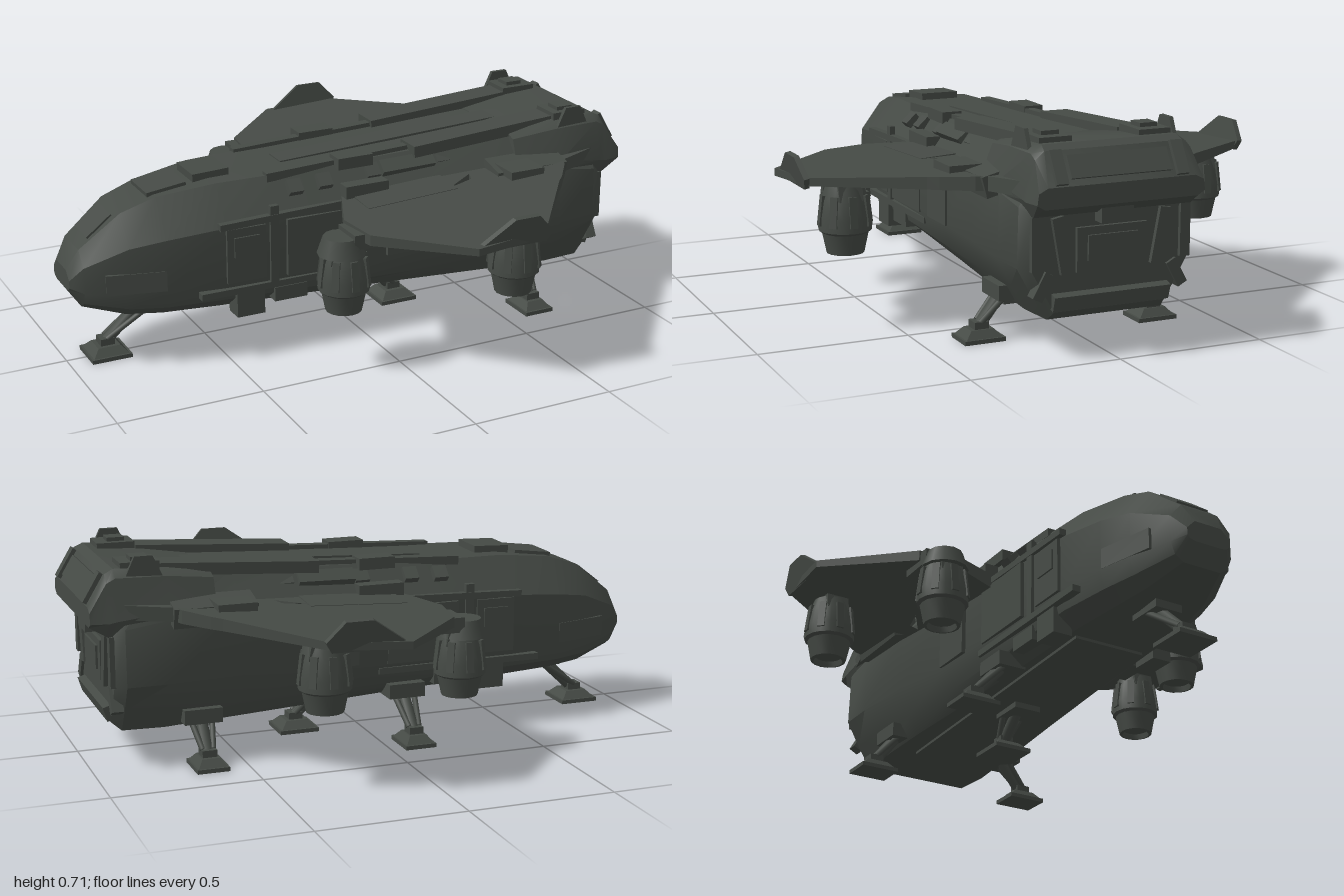
import * as THREE from 'three';
import { toCreasedNormals } from 'three/addons/utils/BufferGeometryUtils.js';

const hullPaint = new THREE.MeshStandardMaterial({ color: 0x454a45 });
hullPaint.name = 'dark grey-green paint';

export function createModel() {
  const root = new THREE.Group();
  root.name = 'dropship';

  const add = (name, geo, parent = root) => {
    const m = new THREE.Mesh(geo, hullPaint);
    m.name = name;
    parent.add(m);
    return m;
  };
  const box = (name, x, y, z, w, h, d, rz = 0, rx = 0, parent = root) => {
    const m = add(name, new THREE.BoxGeometry(w, h, d), parent);
    m.position.set(x, y, z);
    m.rotation.set(rx, 0, rz);
    return m;
  };
  const both = fn => [1, -1].forEach(fn);

  // Upright plate with an outline in x and y
  const plate = (name, outline, y, z, depth, tilt) => {
    const shape = new THREE.Shape(outline.map(([px, py]) => new THREE.Vector2(px, py)));
    const m = add(name, new THREE.ExtrudeGeometry(shape, { depth, bevelEnabled: false }));
    m.position.set(0, y, z - depth / 2);
    m.rotation.x = tilt;
  };

  // Loft along x; each ring is [x, [z, y]...] from bottom to top, mirrored in z
  const loft = (name, rings) => {
    const pos = [], idx = [];
    const n = (rings[0].length - 1) * 2;
    for (const [x, ...half] of rings) {
      const loop = [...half, ...half.slice().reverse().map(([z, y]) => [-z, y])];
      loop.forEach(([z, y]) => pos.push(x, y, z));
    }
    for (let i = 0; i < rings.length - 1; i++) {
      for (let j = 0; j < n; j++) {
        const a = i * n + j, b = i * n + (j + 1) % n;
        idx.push(a, a + n, b + n, a, b + n, b);
      }
    }
    const last = (rings.length - 1) * n;
    for (let j = 1; j < n - 1; j++) {
      idx.push(0, j, j + 1, last, last + j + 1, last + j);
    }
    const g = new THREE.BufferGeometry();
    g.setAttribute('position', new THREE.Float32BufferAttribute(pos, 3));
    g.setIndex(idx);
    add(name, toCreasedNormals(g, 0.5));
  };

  // Cylinder strut between two points
  const strut = (name, a, b, r, parent = root) => {
    const p = new THREE.Vector3(...a), q = new THREE.Vector3(...b);
    const m = add(name, new THREE.CylinderGeometry(r, r, p.distanceTo(q), 8), parent);
    m.position.copy(p).add(q).multiplyScalar(0.5);
    m.quaternion.setFromUnitVectors(new THREE.Vector3(0, 1, 0), q.sub(p).normalize());
  };

  // Main hull, nose at -x
  loft('hull', [
    [-1.0, [0.05, 0.28], [0.07, 0.285], [0.08, 0.295], [0.08, 0.32], [0.05, 0.35]],
    [-0.96, [0.07, 0.22], [0.1, 0.24], [0.115, 0.28], [0.115, 0.37], [0.07, 0.42]],
    [-0.82, [0.11, 0.18], [0.155, 0.215], [0.17, 0.27], [0.165, 0.43], [0.09, 0.53]],
    [-0.7, [0.13, 0.17], [0.185, 0.21], [0.2, 0.27], [0.195, 0.45], [0.1, 0.57]],
    [-0.5, [0.15, 0.165], [0.21, 0.21], [0.225, 0.27], [0.225, 0.47], [0.13, 0.595]],
    [-0.2, [0.16, 0.155], [0.215, 0.2], [0.235, 0.28], [0.235, 0.48], [0.15, 0.6]],
    [0.2, [0.18, 0.14], [0.225, 0.19], [0.25, 0.28], [0.25, 0.51], [0.17, 0.615]],
    [0.5, [0.2, 0.13], [0.24, 0.19], [0.28, 0.29], [0.275, 0.52], [0.19, 0.63]],
    [0.75, [0.21, 0.12], [0.255, 0.2], [0.3, 0.29], [0.295, 0.5], [0.22, 0.64]],
    [0.89, [0.2, 0.12], [0.25, 0.2], [0.3, 0.29], [0.295, 0.48], [0.22, 0.6]],
    [0.925, [0.19, 0.15], [0.225, 0.21], [0.27, 0.29], [0.27, 0.46], [0.2, 0.58]],
  ]);

  // Upper tail housing
  loft('tailHousing', [
    [0.58, [0.27, 0.5], [0.28, 0.52], [0.24, 0.62], [0.2, 0.635]],
    [0.74, [0.29, 0.49], [0.3, 0.53], [0.26, 0.64], [0.22, 0.66]],
    [0.91, [0.27, 0.46], [0.295, 0.51], [0.265, 0.645], [0.23, 0.67]],
    [0.94, [0.27, 0.455], [0.295, 0.505], [0.265, 0.63], [0.235, 0.655]],
    [1.0, [0.26, 0.49], [0.285, 0.505], [0.28, 0.54], [0.25, 0.555]],
  ]);
  box('tailWindow', 0.972, 0.607, 0, 0.012, 0.075, 0.34, 0.54);
  both(s => box('tailWindowFrame', 0.971, 0.607, s * 0.205, 0.025, 0.11, 0.04, 0.54));
  box('tailLight', 0.945, 0.46, 0, 0.05, 0.07, 0.11);

  // Rear ramp with frame
  box('ramp', 0.925, 0.34, 0, 0.025, 0.14, 0.24);
  box('rampPanel', 0.936, 0.345, 0, 0.018, 0.08, 0.17);
  box('rampSill', 0.922, 0.185, 0, 0.045, 0.05, 0.4, -0.3);
  both(s => {
    box('rampPillar', 0.925, 0.36, s * 0.17, 0.03, 0.18, 0.04, 0, s * 0.18);
    box('rearCorner', 0.918, 0.37, s * 0.255, 0.04, 0.17, 0.035);
    box('rearLowerCorner', 0.915, 0.235, s * 0.23, 0.04, 0.09, 0.035, 0, s * -0.5);
  });

  // Cockpit and dorsal details
  box('roofHatch', -0.49, 0.6, 0, 0.13, 0.035, 0.14, 0.04);
  box('canopyFrame', -0.65, 0.58, 0, 0.14, 0.015, 0.15, 0.13);
  box('canopyPane', -0.88, 0.482, 0, 0.11, 0.014, 0.12, 0.66);
  box('spine', 0.25, 0.615, 0, 0.95, 0.02, 0.09, 0.045);
  const tailSpike = [[0.75, 0], [0.88, 0], [0.845, 0.075], [0.785, 0.075]];
  both(s => {
    box('dorsalRail', -0.05, 0.605, s * 0.14, 0.55, 0.03, 0.035, 0.04);
    box('dorsalRidge', 0.48, 0.636, s * 0.16, 0.55, 0.04, 0.1, 0.06);
    box('dorsalUnit', -0.01, 0.612, s * 0.155, 0.13, 0.04, 0.07);
    box('dorsalVent', 0.18, 0.58, s * 0.2, 0.2, 0.03, 0.05, 0.03, s * 0.7);
    for (const x of [-0.24, -0.13, 0.05, 0.32]) {
      box('dorsalFitting', x, 0.57 + 0.04 * x, s * 0.19, 0.05, 0.025, 0.05, 0, s * 0.75);
    }
    box('tailTurretBase', 0.82, 0.672, s * 0.17, 0.13, 0.026, 0.11);
    box('tailTurretCap', 0.815, 0.687, s * 0.17, 0.06, 0.022, 0.06);
    plate('tailSpike', tailSpike, 0.635, s * 0.25, 0.014, 0);
    box('shoulderPod', 0.545, 0.54, s * 0.345, 0.13, 0.045, 0.11);
    box('shoulderFairing', 0.6, 0.525, s * 0.29, 0.28, 0.07, 0.1, 0, s * 0.25);
    box('intakeBlock', 0.0, 0.52, s * 0.235, 0.16, 0.07, 0.05);
    // Flank doors, seams and lower equipment
    box('flankDoor', -0.435, 0.37, s * 0.227, 0.14, 0.19, 0.018);
    box('flankDoorWindow', -0.435, 0.4, s * 0.238, 0.09, 0.07, 0.008);
    box('slidingDoor', -0.16, 0.37, s * 0.238, 0.26, 0.2, 0.015);
    box('doorPillar', -0.335, 0.385, s * 0.23, 0.03, 0.28, 0.02);
    box('upperRail', -0.3, 0.485, s * 0.23, 0.46, 0.022, 0.025, 0.03);
    box('stepRail', -0.3, 0.245, s * 0.225, 0.6, 0.022, 0.03);
    box('stepBox', -0.42, 0.19, s * 0.195, 0.1, 0.09, 0.07);
    box('lowerBox', -0.27, 0.2, s * 0.2, 0.12, 0.05, 0.05);
    box('flankPanel', 0.16, 0.37, s * 0.25, 0.16, 0.18, 0.02);
    box('chinPanel', -0.8, 0.31, s * 0.17, 0.2, 0.07, 0.012).rotation.y = s * -0.24;
  });
  box('bellyPlate', 0.1, 0.144, 0, 1.1, 0.02, 0.26, -0.035);

  // Wings: plan shape with a slot, tapered towards the tip
  const plan = [[-0.07, 0.2], [-0.16, 0.4], [-0.14, 0.55], [0.11, 0.81], [0.37, 0.79],
    [0.62, 0.48], [0.65, 0.45], [0.72, 0.36], [0.73, 0.33], [0.9, 0.28], [0.9, 0.24]];
  const slot = [[0.27, 0.345], [0.37, 0.315], [0.385, 0.275]];
  const tip = [[0.1, 0], [0.37, 0], [0.39, 0.035], [0.33, 0.1], [0.24, 0.1]];
  both(s => {
    const toV = ([x, z]) => new THREE.Vector2(x, -s * z);
    const shape = new THREE.Shape(plan.map(toV));
    shape.holes.push(new THREE.Path(slot.map(toV)));
    const g = new THREE.ExtrudeGeometry(shape, { depth: 1, bevelEnabled: false });
    g.rotateX(-Math.PI / 2);
    const p = g.attributes.position;
    for (let i = 0; i < p.count; i++) {
      const out = (Math.abs(p.getZ(i)) - 0.25) / 0.55;
      const thick = 0.05 - 0.025 * out;
      p.setY(i, 0.466 + 0.05 * p.getX(i) + 0.003 * out + p.getY(i) * thick);
    }
    g.computeVertexNormals();
    add('wing', g);
    plate('wingTip', tip, 0.48, s * 0.785, 0.018, s * 0.2);
    box('wingPanel', 0.12, 0.514, s * 0.3, 0.34, 0.018, 0.13, 0.05, s * 0.06);
    strut('wingSpar', [-0.1, 0.478, s * 0.53], [0.24, 0.495, s * 0.43], 0.017);
  });

  // Lift engines hanging under the wings
  const profile = [[0, 0.02], [0.046, 0.02], [0.05, 0], [0.061, 0.003], [0.075, 0.07],
    [0.086, 0.078], [0.086, 0.12], [0.076, 0.18], [0.06, 0.225], [0, 0.235]]
    .map(([r, y]) => new THREE.Vector2(r, y));
  const engine = (x, y, z) => {
    const e = new THREE.Group();
    e.name = 'liftEngine';
    e.position.set(x, y, z);
    add('engineBody', toCreasedNormals(new THREE.LatheGeometry(profile, 16), 0.5), e);
    for (let i = 0; i < 8; i++) {
      const a = i * Math.PI / 4;
      const rib = box('engineRib', Math.cos(a) * 0.075, 0.145, Math.sin(a) * 0.075, 0.02, 0.1, 0.025, 0, 0, e);
      rib.rotation.set(0, -a, 0.12);
    }
    both(k => box('engineHanger', k * 0.045, 0.21, 0, 0.03, 0.07, 0.08, k * 0.2, 0, e));
    root.add(e);
  };
  for (const z of [0.46, -0.485]) {
    engine(-0.19, 0.212, z);
    const cap = add('engineCowl', new THREE.CylinderGeometry(0.06, 0.08, 0.06, 12));
    cap.position.set(-0.2, 0.445, z);
    box('engineArm', -0.11, 0.465, z, 0.14, 0.05, 0.12);
  }
  for (const z of [0.65, -0.645]) engine(0.34, 0.252, z);

  // Landing legs: foot pad, main strut, braces
  const leg = (name, top, foot) => {
    const g = new THREE.Group();
    g.name = name;
    root.add(g);
    const [x, z] = foot;
    const along = z === 0;
    const width = along ? 0.14 : 0.11;
    const pad = add('footPad', toCreasedNormals(
      new THREE.CylinderGeometry(0.055, 0.095, 0.03, 4).rotateY(Math.PI / 4), 0.3), g);
    pad.position.set(x, 0.024, z);
    pad.scale.x = width / 0.14;
    box('footSole', x, 0.007, z, width, 0.014, 0.14, 0, 0, g);
    box('ankle', x, 0.045, z, 0.05, 0.035, 0.05, 0, 0, g);
    strut('mainStrut', top, [x, 0.045, z], 0.02, g);
    both(k => strut('brace',
      [top[0] + (along ? 0.03 : k * 0.04), top[1], top[2] + (along ? k * 0.04 : 0)],
      [x + (along ? 0 : k * 0.018), 0.06, z + (along ? k * 0.018 : 0)], 0.01, g));
    box('legHousing', top[0], top[1], top[2], 0.13, 0.05, 0.1, 0, 0, g);
  };
  leg('noseLeg', [-0.72, 0.175, 0], [-0.86, 0]);
  leg('bellyLeg', [0.13, 0.14, 0], [0.23, 0]);
  leg('rightMidLeg', [-0.1, 0.17, -0.2], [-0.1, -0.31]);
  both(s => leg('rearLeg', [0.63, 0.16, s * 0.22], [0.63, s * 0.31]));

  return root;
}
